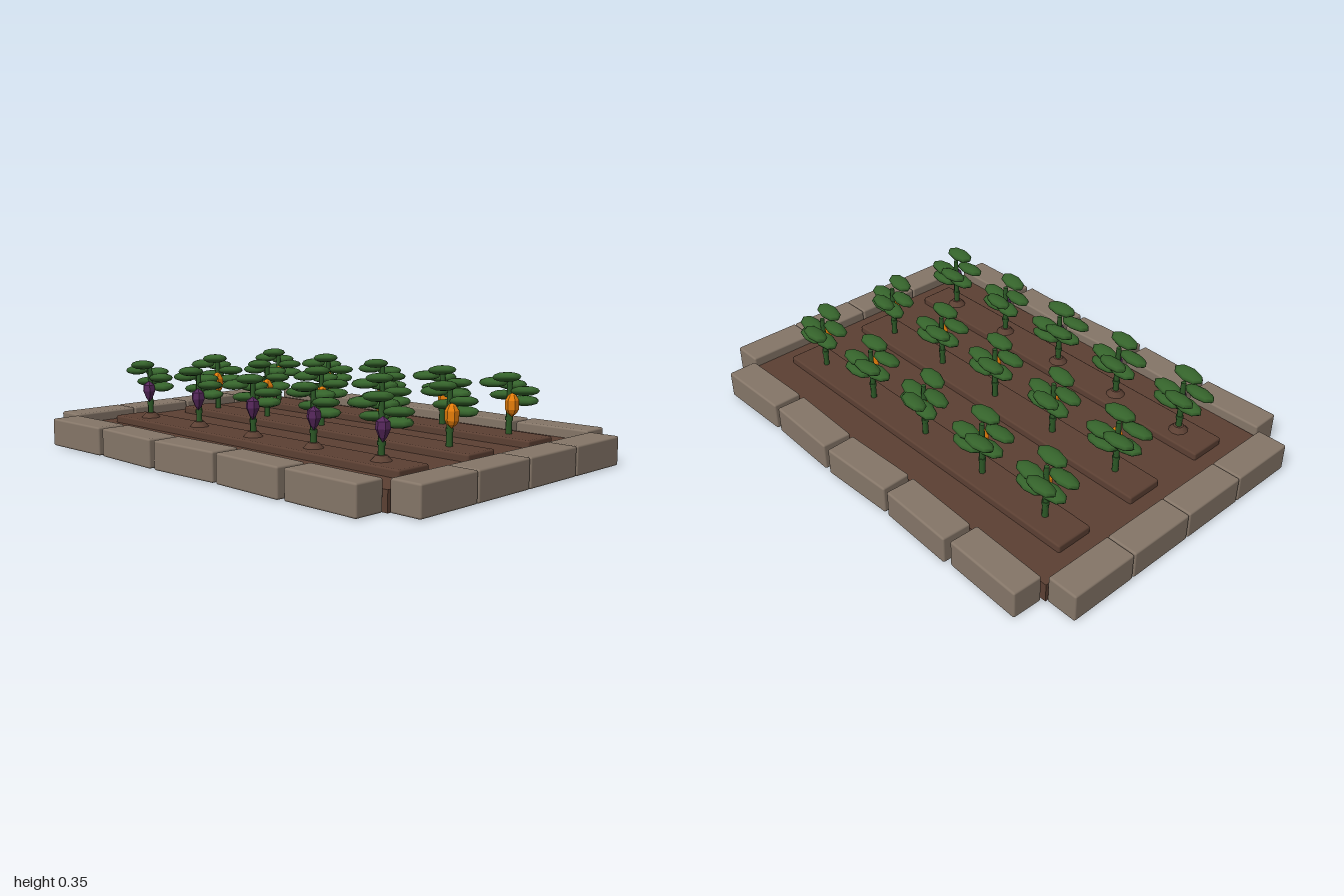
import * as THREE from 'three';
import { RoundedBoxGeometry } from 'three/addons/geometries/RoundedBoxGeometry.js';

const paint = (name, color, flatShading = false) => {
  const m = new THREE.MeshStandardMaterial({ color, flatShading });
  m.name = name;
  return m;
};

export function createModel() {
  const stone = paint('stone', 0x857668);
  const soil = paint('soil', 0x5c4033);
  const leafGreen = paint('leafGreen', 0x35632b);
  const stemGreen = paint('stemGreen', 0x2d5a27);
  const orange = paint('orange', 0xe67e0a, true);
  const purple = paint('purple', 0x56285c, true);

  const model = new THREE.Group();
  model.name = 'gardenBed';
  const add = (parent, name, geometry, material, x, y, z) => {
    const mesh = new THREE.Mesh(geometry, material);
    mesh.name = name;
    mesh.position.set(x, y, z);
    parent.add(mesh);
    return mesh;
  };

  // Soil slab and three raised planting rows
  add(model, 'soilBed', new THREE.BoxGeometry(1.74, 0.075, 1.16), soil, 0, 0.0385, 0);
  const rows = [-0.365, 0, 0.365];
  const ridge = new RoundedBoxGeometry(1.59, 0.04, 0.155, 1, 0.008);
  rows.forEach(z => add(model, 'plantingRow', ridge, soil, 0, 0.085, z));

  // Border stones: long sides slightly crooked, short sides straight
  const longStone = new RoundedBoxGeometry(0.325, 0.112, 0.122, 2, 0.008);
  const sideStone = new RoundedBoxGeometry(0.125, 0.112, 0.286, 2, 0.008);
  const crooked = [-0.03, -0.035, 0.04, -0.03, 0.02];
  for (const s of [-1, 1]) {
    for (let i = 0; i < 5; i++) {
      const block = add(model, 'borderStone', longStone, stone, (i - 2) * 0.347, 0.058, s * 0.645);
      block.rotation.y = crooked[i] * (s > 0 && i % 4 === 0 ? -0.6 : 1);
    }
    for (let i = 0; i < 4; i++) {
      add(model, 'sideStone', sideStone, stone, s * 0.9365, 0.058, (i - 1.5) * 0.289);
    }
  }

  // Shared plant geometry
  const leaf = new THREE.SphereGeometry(1, 8, 6);
  leaf.scale(0.067, 0.019, 0.037);
  const stem = new THREE.CylinderGeometry(0.01, 0.013, 0.23, 6);
  const node = new THREE.CylinderGeometry(0.015, 0.015, 0.014, 6);
  const mound = new THREE.CylinderGeometry(0.02, 0.04, 0.022, 10);
  const lathe = pts => new THREE.LatheGeometry(pts.map(p => new THREE.Vector2(...p)), 6);
  const longFruit = lathe([[0, -0.045], [0.018, -0.03], [0.026, -0.015], [0.026, 0.02], [0.014, 0.04], [0, 0.047]]);
  const pointedFruit = lathe([[0, -0.048], [0.014, -0.03], [0.027, 0], [0.024, 0.025], [0, 0.042]]);
  const leafSpots = [
    [0.02, 0.33, 0.047], [-0.065, 0.3, 0.02], [0.06, 0.275, -0.015],
    [-0.03, 0.288, -0.055], [-0.045, 0.25, -0.02], [0.045, 0.235, -0.03],
  ];

  // Fifteen plants; leaf clusters turn a little from plant to plant
  rows.forEach((z, r) => {
    for (let i = 0; i < 5; i++) {
      const plant = new THREE.Group();
      plant.name = 'plant';
      plant.position.set((i - 2) * 0.325, 0, z);
      model.add(plant);
      add(plant, 'stem', stem, stemGreen, 0, 0.21, 0);
      add(plant, 'stemNode', node, stemGreen, 0, 0.165, 0);
      const turn = 0.25 * Math.sin(i * 2.4 + r * 1.7);
      const c = Math.cos(turn), s = Math.sin(turn);
      leafSpots.forEach(([x, y, dz], k) => {
        const m = add(plant, 'leaf', leaf, leafGreen, c * x + s * dz, y, c * dz - s * x);
        m.rotation.set(k % 2 ? 0.1 : -0.1, turn * 0.5, k % 2 ? 0.06 : 0.1);
      });
      const front = r === 2;
      add(plant, 'fruit', front ? pointedFruit : longFruit, front ? purple : orange, 0.033, 0.222, 0.03);
      if (front) add(plant, 'soilMound', mound, soil, 0, 0.114, 0);
    }
  });
  return model;
}
